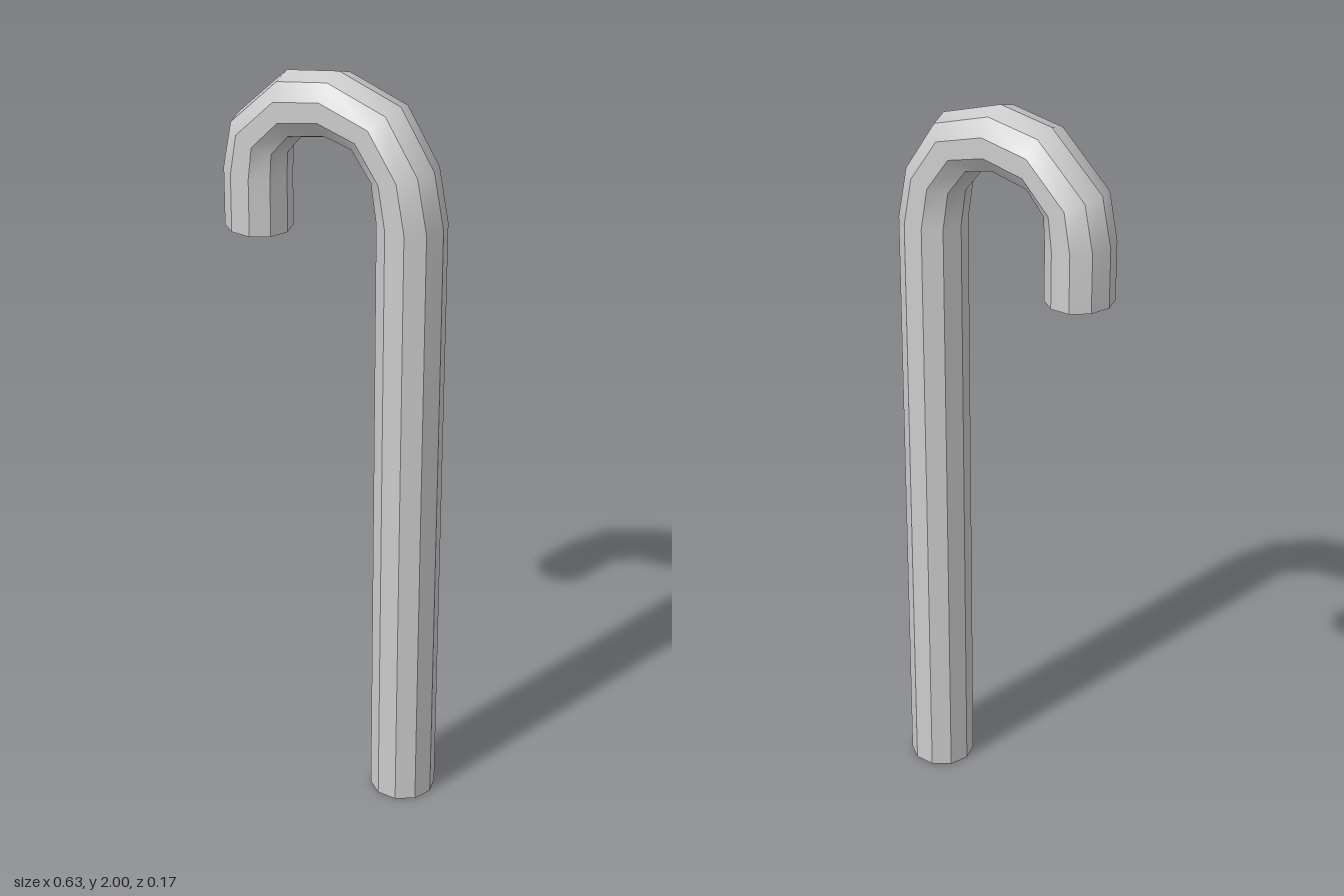
import * as THREE from 'three';

const SIDES = 10;
const RADIUS = 0.0875;

// Rings along the cane: outer x, outer y, inner x, inner y
const RINGS = [
  [0.313, 0, 0.137, 0],
  [0.313, 1.655, 0.137, 1.655],
  [0.284, 1.797, 0.122, 1.752],
  [0.188, 1.942, 0.07, 1.817],
  [0.013, 2.0, 0, 1.832],
  [-0.138, 1.977, -0.099, 1.811],
  [-0.288, 1.84, -0.139, 1.764],
  [-0.315, 1.712, -0.141, 1.7],
  [-0.315, 1.556, -0.141, 1.551],
];

// Point on a ring; side 0 lies on the outside of the bend
function ringPoint([ox, oy, ix, iy], side) {
  const a = (side / SIDES) * Math.PI * 2;
  const c = Math.cos(a) / 2;
  return [
    (ox + ix) / 2 + (ox - ix) * c,
    (oy + iy) / 2 + (oy - iy) * c,
    RADIUS * Math.sin(a),
  ];
}

function geometryFrom(positions, index) {
  const geometry = new THREE.BufferGeometry();
  geometry.setAttribute('position', new THREE.Float32BufferAttribute(positions, 3));
  geometry.setIndex(index);
  geometry.computeVertexNormals();
  return geometry;
}

// Ten strips with sharp edges between them, each smooth along its length
function tubeGeometry() {
  const positions = [], index = [];
  for (let s = 0; s < SIDES; s++) {
    const start = positions.length / 3;
    RINGS.forEach((ring, r) => {
      positions.push(...ringPoint(ring, s), ...ringPoint(ring, s + 1));
      if (r === 0) return;
      const a = start + (r - 1) * 2;
      index.push(a, a + 2, a + 1, a + 1, a + 2, a + 3);
    });
  }
  return geometryFrom(positions, index);
}

// Flat end disc
function capGeometry(ring, flip) {
  const positions = [], index = [];
  for (let s = 0; s < SIDES; s++) positions.push(...ringPoint(ring, s));
  for (let s = 1; s < SIDES - 1; s++) index.push(0, ...(flip ? [s + 1, s] : [s, s + 1]));
  return geometryFrom(positions, index);
}

export function createModel() {
  const group = new THREE.Group();
  group.name = 'cane';
  const material = new THREE.MeshStandardMaterial({ color: 0xcccccc });
  const add = (name, geometry) => {
    const mesh = new THREE.Mesh(geometry, material);
    mesh.name = name;
    group.add(mesh);
  };
  add('shaftAndHook', tubeGeometry());
  add('footCap', capGeometry(RINGS[0], false));
  // The hook turns half round, so its end ring keeps the opposite winding
  add('hookEndCap', capGeometry(RINGS[RINGS.length - 1], true));
  return group;
}
